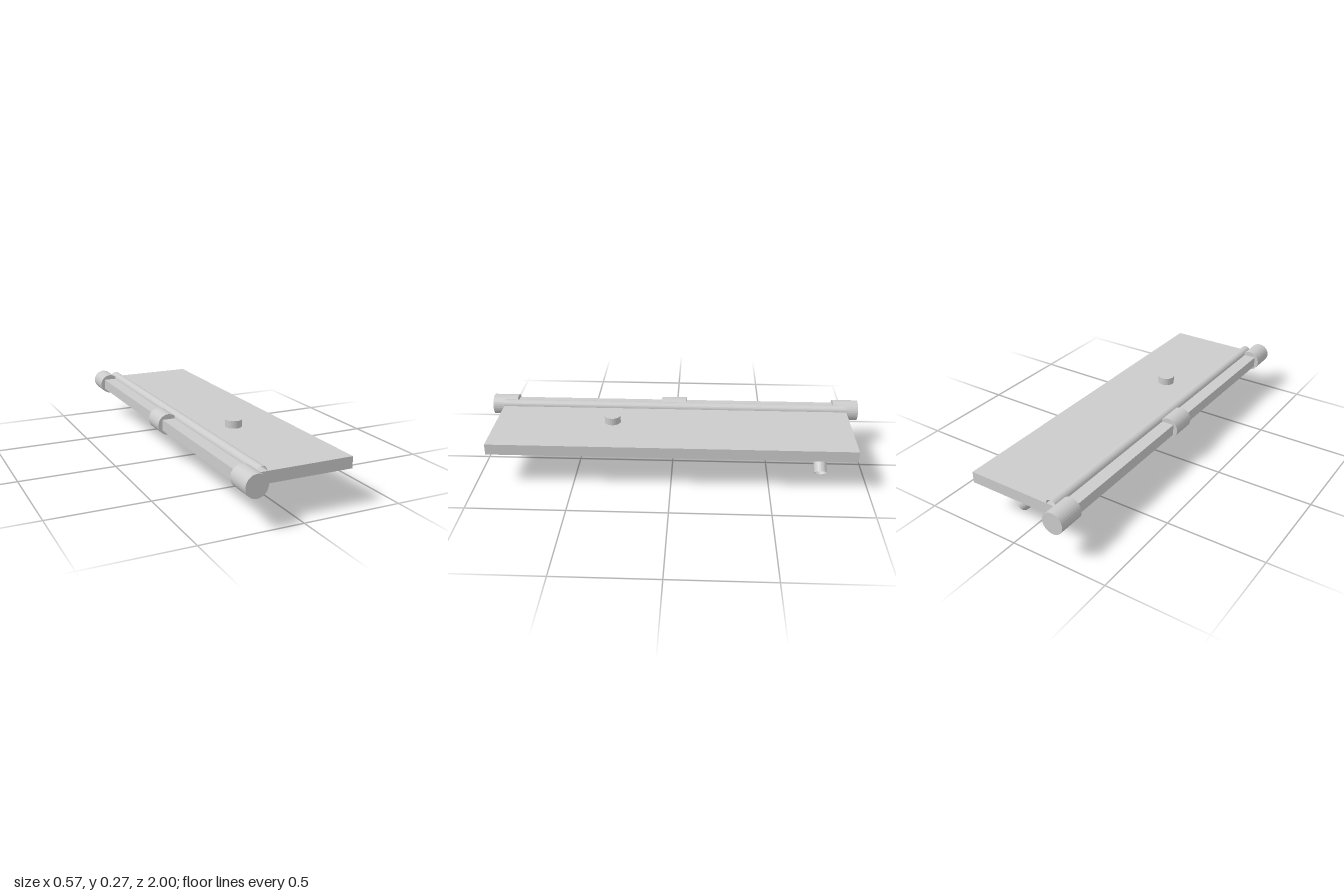
import * as THREE from 'three';

export function createModel() {
  const group = new THREE.Group();
  const solid = new THREE.MeshStandardMaterial({ color: 0xcccccc, flatShading: true });
  const open = new THREE.MeshStandardMaterial({ color: 0xcccccc, flatShading: true, side: THREE.DoubleSide });

  const add = (name, geometry, material, x, y, z) => {
    const mesh = new THREE.Mesh(geometry, material);
    mesh.name = name;
    mesh.position.set(x, y, z);
    group.add(mesh);
    return mesh;
  };

  // Flat plate
  add('plate', new THREE.BoxGeometry(0.55, 0.057, 1.86), solid, 0.01, 0.2085, 0);

  // Three hinge barrels along the left edge of the plate
  const barrel = new THREE.CylinderGeometry(0.0545, 0.0545, 0.135, 32).rotateX(Math.PI / 2);
  for (const z of [-0.9325, 0, 0.9325]) add('hingeBarrel', barrel, solid, -0.233, 0.2085, z);

  // Open half-round bead on the top of the plate
  const bead = new THREE.CylinderGeometry(0.0265, 0.0265, 1.86, 24, 1, true, Math.PI / 2, Math.PI)
    .rotateX(Math.PI / 2);
  add('bead', bead, open, -0.173, 0.237, 0);

  // Round knob
  add('knob', new THREE.CylinderGeometry(0.042, 0.042, 0.045, 24), solid, 0.012, 0.2525, 0.315);

  // Slanted open tube under the plate, rising toward -x
  const low = new THREE.Vector2(0.1335, 0.0235);
  const rise = 0.185;
  const strut = new THREE.CylinderGeometry(0.033, 0.033, rise * Math.SQRT2, 24, 1, true)
    .rotateZ(Math.PI / 4);
  add('strut', strut, open, low.x - rise / 2, low.y + rise / 2, -0.775);

  return group;
}
